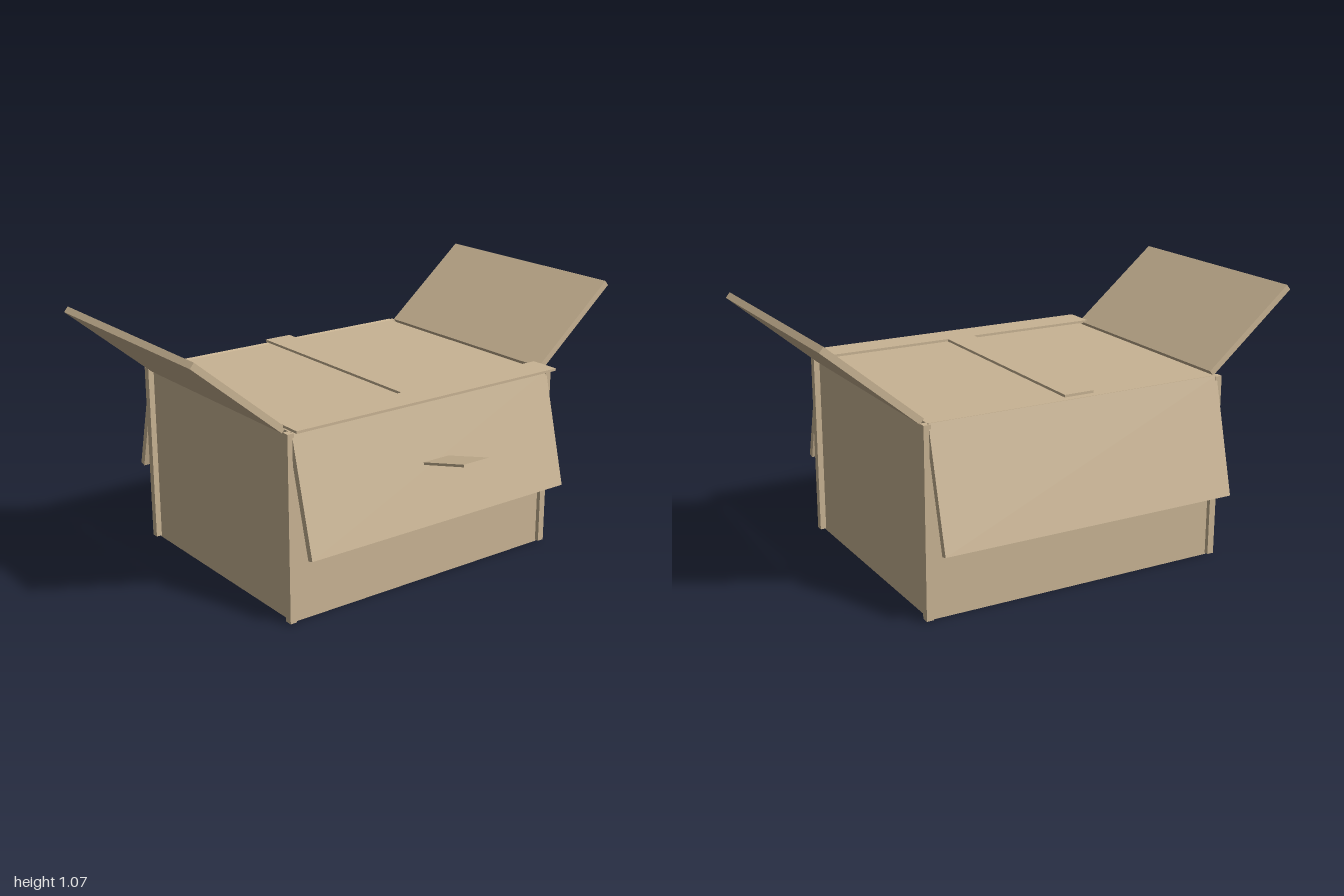
import * as THREE from 'three';

export function createModel() {
  const model = new THREE.Group();
  model.name = 'cardboardBox';

  const cardboard = new THREE.MeshStandardMaterial({ color: 0xc8b393 });
  cardboard.name = 'cardboard';

  function panel(name, size, position, rotation = [0, 0, 0]) {
    const mesh = new THREE.Mesh(new THREE.BoxGeometry(...size), cardboard);
    mesh.name = name;
    mesh.position.set(...position);
    mesh.rotation.set(...rotation);
    model.add(mesh);
    return mesh;
  }

  const midZ = -0.08;
  const height = 0.75;
  const thick = 0.026;
  const flapLength = 0.474;

  // closed body
  panel('body', [1.24, height, 1.0], [0, height / 2, midZ]);

  // corner strips, standing proud of the walls
  for (const sx of [1, -1]) {
    for (const sz of [1, -1]) {
      panel('cornerStrip', [0.028, height - 0.006, 0.03],
        [sx * 0.63, height / 2 + 0.003, midZ + sz * 0.503]);
    }
  }

  // front and back flaps, hanging down and outward
  const droop = THREE.MathUtils.degToRad(14.6);
  for (const s of [1, -1]) {
    panel(s > 0 ? 'frontFlap' : 'backFlap', [1.246, flapLength, thick],
      [0, 0.521, midZ + s * 0.56], [-s * droop, 0, 0]);
  }

  // side flaps, raised
  const lift = THREE.MathUtils.degToRad(40);
  for (const s of [1, -1]) {
    panel(s > 0 ? 'leftFlap' : 'rightFlap', [flapLength, thick, 0.948],
      [s * 0.81, 0.903, -0.081], [0, 0, s * lift]);
  }

  // T-shaped tape across the top
  const tapeY = 0.767;
  panel('frontTape', [1.264, 0.01, 0.126], [0, tapeY, 0.415]);
  panel('centreTape', [0.124, 0.01, 0.935], [0, tapeY, -0.1155]);

  // loose tape end sticking out through the front flap
  panel('pullTab', [0.124, 0.01, 0.3], [0, 0.547, 0.575], [-droop, 0, 0]);

  return model;
}
